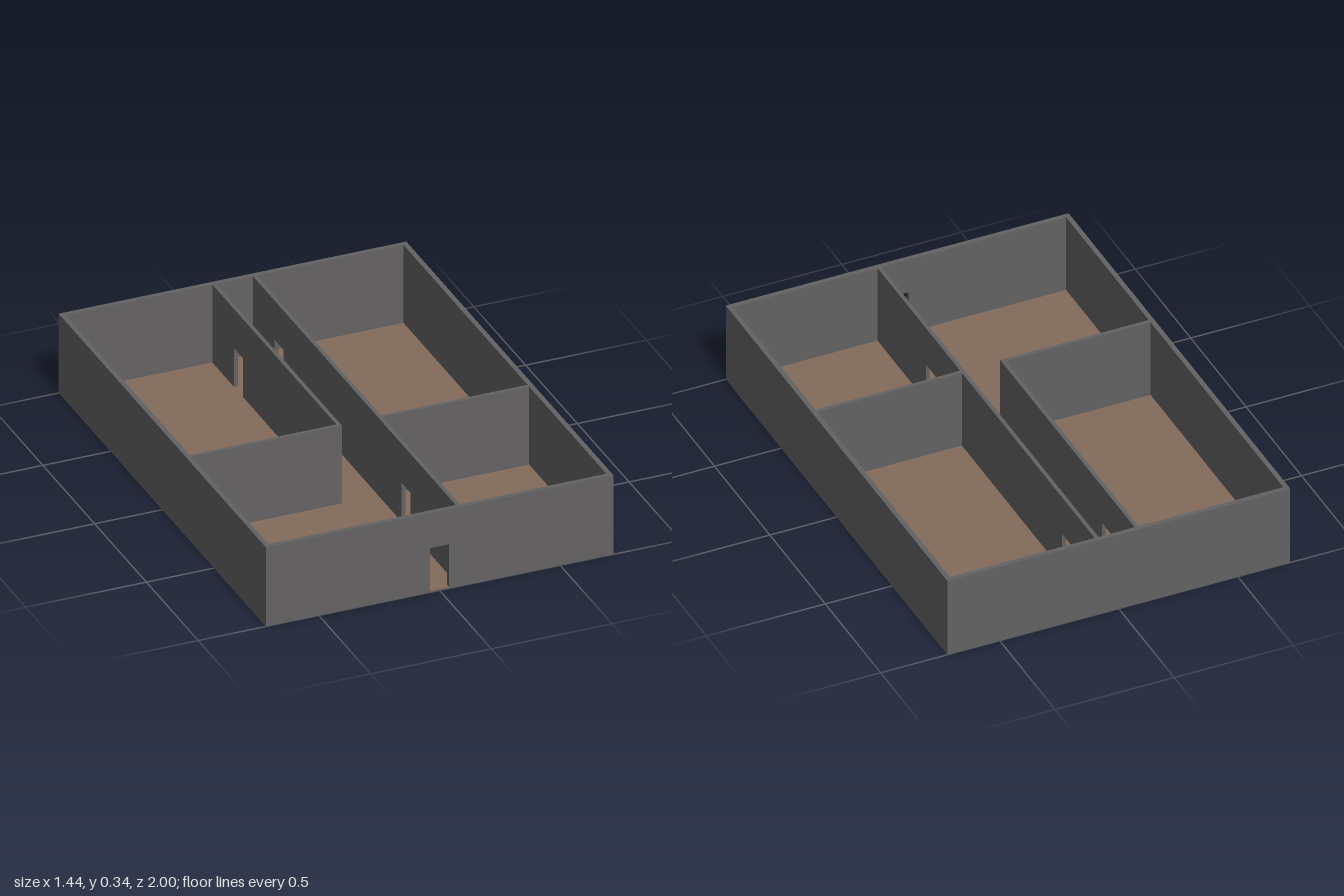
import * as THREE from 'three';

const WIDTH = 1.44, LENGTH = 2, HEIGHT = 0.345, SLAB = 0.006;
const OUTER = 0.02, INNER = 0.016;

const wallGrey = new THREE.MeshStandardMaterial({ color: 0x646263 });
wallGrey.name = 'wallGrey';
const floorBrown = new THREE.MeshStandardMaterial({ color: 0x836b5b });
floorBrown.name = 'floorBrown';

// Upright wall from a to b along one axis, with door openings [from, to, top] cut at floor level
function wall(name, axis, a, b, at, thickness, doors = []) {
  const shape = new THREE.Shape();
  shape.moveTo(a, SLAB);
  for (const [from, to, top] of doors) {
    shape.lineTo(from, SLAB);
    shape.lineTo(from, top);
    shape.lineTo(to, top);
    shape.lineTo(to, SLAB);
  }
  shape.lineTo(b, SLAB);
  shape.lineTo(b, HEIGHT);
  shape.lineTo(a, HEIGHT);
  shape.closePath();
  const geometry = new THREE.ExtrudeGeometry(shape, { depth: thickness, bevelEnabled: false });
  geometry.translate(0, 0, -thickness / 2);
  if (axis === 'z') geometry.rotateY(-Math.PI / 2);
  const mesh = new THREE.Mesh(geometry, wallGrey);
  mesh.name = name;
  if (axis === 'z') mesh.position.x = at;
  else mesh.position.z = at;
  return mesh;
}

export function createModel() {
  const house = new THREE.Group();
  house.name = 'floorPlan';
  const hx = WIDTH / 2, hz = LENGTH / 2;

  // Base slab with a brown floor on top
  const g = wallGrey;
  const slab = new THREE.Mesh(
    new THREE.BoxGeometry(WIDTH, SLAB, LENGTH),
    [g, g, floorBrown, g, g, g]
  );
  slab.name = 'floor';
  slab.position.y = SLAB / 2;
  house.add(slab);

  // Outer walls, with the entrance in the front
  house.add(
    wall('frontWall', 'x', -hx, hx, hz - OUTER / 2, OUTER, [[-0.04, 0.04, 0.192]]),
    wall('backWall', 'x', -hx, hx, -hz + OUTER / 2, OUTER)
  );
  for (const side of [-1, 1]) {
    house.add(wall(side < 0 ? 'rightOuterWall' : 'leftOuterWall', 'z',
      -hz + OUTER, hz - OUTER, side * (hx - OUTER / 2), OUTER));
  }

  // Corridor walls with room doorways
  const backDoor = [-0.77, -0.685, 0.175], frontDoor = [0.457, 0.543, 0.175];
  const corridorX = 0.084, crossZ = 0.226;
  house.add(
    wall('leftCorridorWall', 'z', -hz + OUTER, hz - OUTER, corridorX, INNER, [backDoor, frontDoor]),
    wall('rightCorridorWall', 'z', -hz + OUTER, crossZ + INNER / 2, -corridorX, INNER, [backDoor])
  );

  // Cross walls between the front and back rooms
  const inner = corridorX + INNER / 2, outer = hx - OUTER;
  house.add(
    wall('leftCrossWall', 'x', inner, outer, crossZ, INNER),
    wall('rightCrossWall', 'x', -outer, -inner, crossZ, INNER)
  );
  return house;
}
